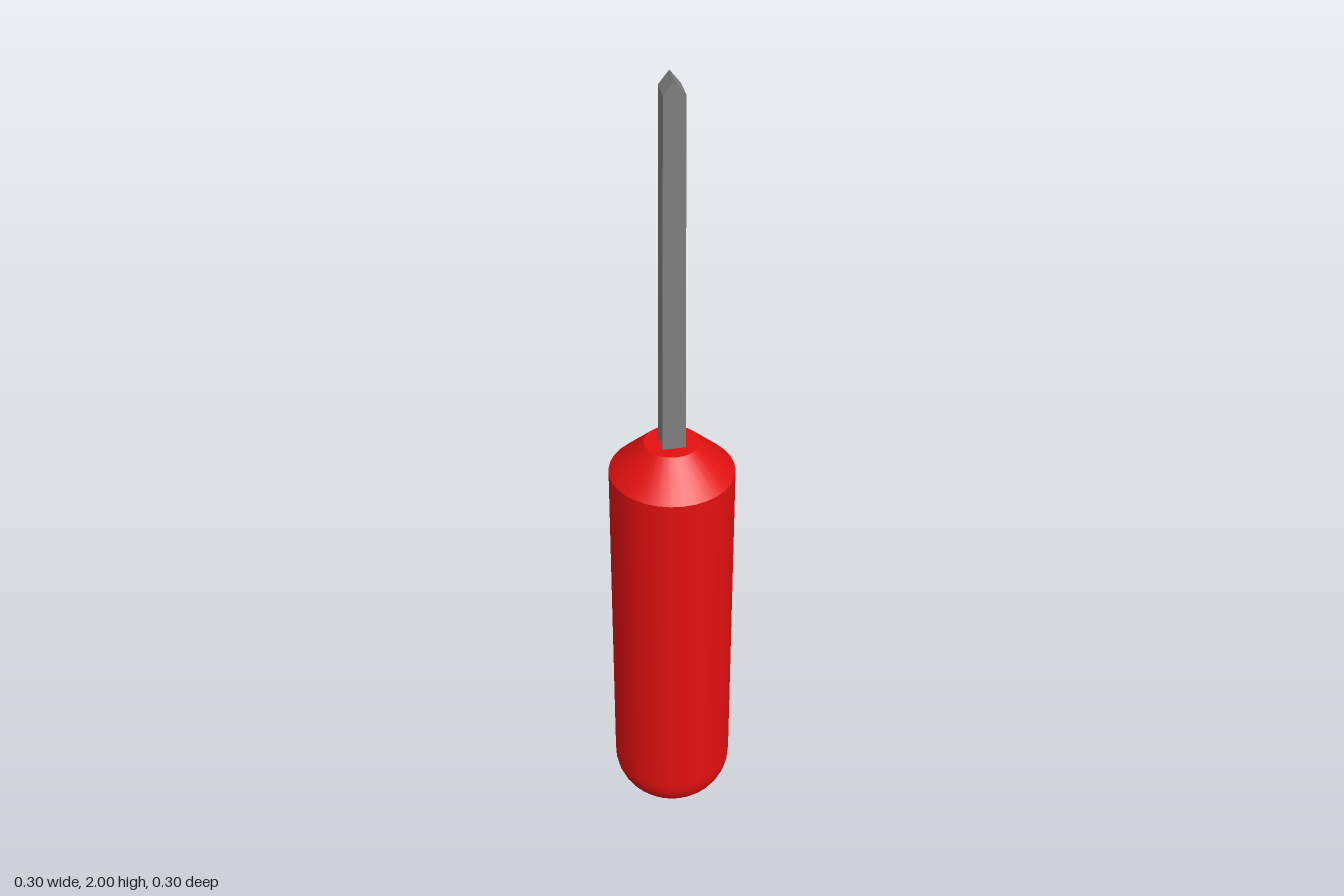
import * as THREE from 'three';

const SIDES = 32;

export function createModel() {
  const group = new THREE.Group();
  group.name = 'screwdriver';

  const red = new THREE.MeshStandardMaterial({ color: 0xe31010 });
  red.name = 'red plastic';
  const steel = new THREE.MeshStandardMaterial({ color: 0x808080 });
  steel.name = 'grey steel';

  const add = (name, geometry, material) => {
    const mesh = new THREE.Mesh(geometry, material);
    mesh.name = name;
    group.add(mesh);
  };
  // Profile of [radius, height] pairs, bottom to top
  const turned = (profile) =>
    new THREE.LatheGeometry(profile.map(([r, y]) => new THREE.Vector2(r, y)), SIDES);

  // Grip: small flat base, rounded butt, straight wall
  const radius = 0.15, round = 0.12;
  const grip = [[0, 0]];
  for (let i = 0; i <= 10; i++) {
    const a = (i / 10) * Math.PI / 2;
    grip.push([radius - round + round * Math.sin(a), round - round * Math.cos(a)]);
  }
  grip.push([radius, 1.025]);
  add('grip', turned(grip), red);

  // Tapered shoulder and flat collar, separate so their edges stay sharp
  add('shoulder', turned([[radius, 1.025], [0.066, 1.105]]), red);
  add('collar', turned([[0.066, 1.105], [0, 1.105]]), red);

  // Blade: slightly tapered bar ending in a ridge that runs front to back
  const depth = 0.06;
  const outline = new THREE.Shape([
    [-0.028, 1.09], [0.028, 1.09], [0.024, 1.97], [0, 2], [-0.024, 1.97],
  ].map(([x, y]) => new THREE.Vector2(x, y)));
  const blade = new THREE.ExtrudeGeometry(outline, { depth, bevelEnabled: false });
  blade.translate(0, 0, -depth / 2);
  add('blade', blade, steel);

  return group;
}
